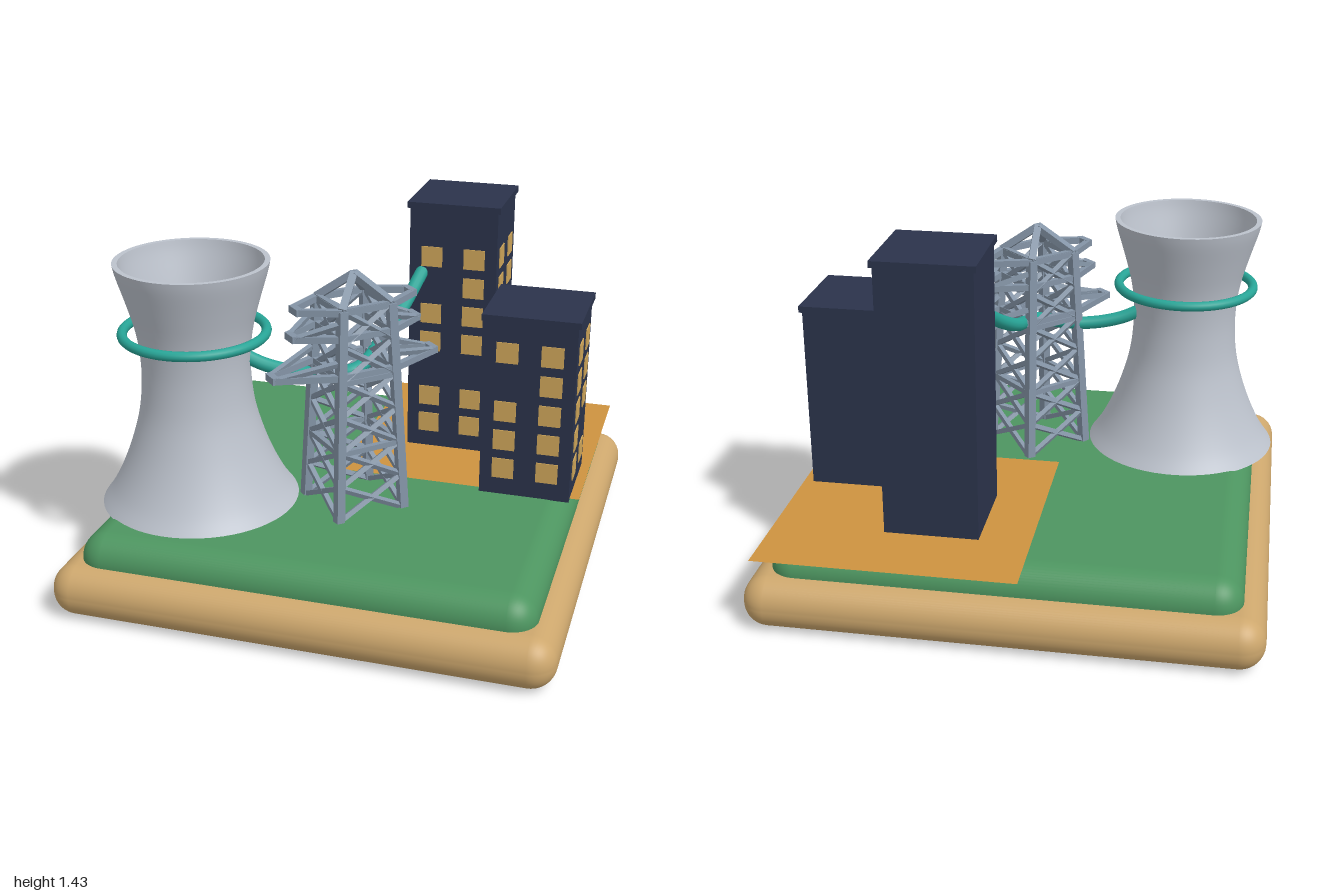
import * as THREE from 'three';
import { toCreasedNormals } from 'three/addons/utils/BufferGeometryUtils.js';
import { RoundedBoxGeometry } from 'three/addons/geometries/RoundedBoxGeometry.js';

const mat = (name, color) => {
  const m = new THREE.MeshStandardMaterial({ color });
  m.name = name;
  return m;
};

export function createModel() {
  const sand = mat('sand', 0xcda76d);
  const grass = mat('grass', 0x4d9560);
  const ochre = mat('ochre', 0xcd9340);
  const concrete = mat('concrete', 0xbcc2cc);
  const steel = mat('steel', 0x8494a6);
  const teal = mat('teal', 0x28a597);
  const navy = mat('navy', 0x2b334b);
  const amber = mat('amber', 0xcfa65a);
  ochre.side = THREE.DoubleSide;

  const model = new THREE.Group();
  const add = (name, geometry, material, x = 0, y = 0, z = 0, parent = model) => {
    const mesh = new THREE.Mesh(geometry, material);
    mesh.name = name;
    mesh.position.set(x, y, z);
    parent.add(mesh);
    return mesh;
  };

  // Rounded ground slabs
  add('baseSlab', new RoundedBoxGeometry(2, 0.21, 2, 6, 0.1), sand, 0, 0.105, 0);
  add('lawn', new RoundedBoxGeometry(1.82, 0.22, 1.82, 6, 0.105), grass, 0, 0.21, 0);

  // Thin paved sheet overhanging the back corner
  const plaza = add('plaza', new THREE.PlaneGeometry(1.025, 1.02), ochre, 0.4225, 0.324, -0.49);
  plaza.rotation.x = -Math.PI / 2;

  // Cooling tower: hollow waisted shell
  const tower = new THREE.Group();
  tower.name = 'coolingTower';
  tower.position.set(-0.58, 0, 0.385);
  model.add(tower);
  const outer = new THREE.SplineCurve([
    [0.405, 0.315], [0.36, 0.38], [0.312, 0.475], [0.268, 0.59], [0.233, 0.72], [0.219, 0.85],
    [0.221, 0.96], [0.235, 1.06], [0.264, 1.17], [0.297, 1.28], [0.308, 1.328],
  ].map(([r, y]) => new THREE.Vector2(r, y))).getPoints(40);
  const inner = outer.map((p) => new THREE.Vector2(p.x - 0.022, p.y)).reverse();
  const shell = new THREE.LatheGeometry([...outer, ...inner, outer[0].clone()], 64);
  add('towerShell', toCreasedNormals(shell, 0.7), concrete, 0, 0, 0, tower);
  const ring = add('towerRing', new THREE.TorusGeometry(0.286, 0.02, 12, 64), teal, 0, 1.035, 0, tower);
  ring.rotation.x = Math.PI / 2;

  // Cable from the tower past the pylon to the tall building
  const cablePath = new THREE.CatmullRomCurve3([
    [-0.43, 0.945, 0.33], [-0.3, 0.89, 0.31], [-0.14, 0.868, 0.285], [0.045, 0.89, 0.25],
    [0.09, 0.94, 0.03], [0.13, 1.02, -0.15], [0.168, 1.13, -0.34],
  ].map((p) => new THREE.Vector3(...p)));
  add('cable', new THREE.TubeGeometry(cablePath, 80, 0.028, 12), teal);
  const cap = add('cableEnd', new THREE.CircleGeometry(0.028, 12), teal, -0.43, 0.945, 0.33);
  cap.lookAt(cap.position.clone().sub(cablePath.getTangent(0)));

  // Lattice pylon, turned 45 degrees
  const pylon = new THREE.Group();
  pylon.name = 'pylon';
  pylon.position.set(0.045, 0, 0.27);
  pylon.rotation.y = Math.PI / 4;
  model.add(pylon);
  const beam = (name, a, b, t) => {
    const mesh = add(name, new THREE.BoxGeometry(t, t, a.distanceTo(b)), steel, 0, 0, 0, pylon);
    mesh.position.copy(a).add(b).multiplyScalar(0.5);
    const dir = b.clone().sub(a).normalize();
    mesh.quaternion.setFromUnitVectors(new THREE.Vector3(0, 0, 1), dir);
  };
  const bottom = 0.32, top = 1.19;
  const signs = [[1, 1], [1, -1], [-1, -1], [-1, 1]];
  const corner = (i, y) => {
    const s = THREE.MathUtils.mapLinear(y, bottom, top, 0.147, 0.107);
    return new THREE.Vector3(signs[i % 4][0] * s, y, signs[i % 4][1] * s);
  };
  const apex = new THREE.Vector3(0, 1.295, 0);
  const panels = 6;
  for (let i = 0; i < 4; i++) {
    beam('pylonLeg', corner(i, bottom), corner(i, top), 0.035);
    beam('pylonPeak', corner(i, top), apex, 0.03);
    for (let k = 0; k < panels; k++) {
      const y0 = bottom + ((top - bottom) * k) / panels;
      const y1 = bottom + ((top - bottom) * (k + 1)) / panels;
      beam('pylonBrace', corner(i, y0), corner(i + 1, y1), 0.02);
      beam('pylonBrace', corner(i, y1), corner(i + 1, y0), 0.02);
      if (k % 2) beam('pylonTie', corner(i, y1), corner(i + 1, y1), 0.022);
    }
  }
  // Tapering cross arms on both sides
  for (const [y, reach] of [[0.925, 0.355], [1.08, 0.27], [1.185, 0.25]]) {
    for (const s of [1, -1]) {
      const tip = (z) => new THREE.Vector3(s * reach, y, z * 0.025);
      beam('armTip', tip(-1.4), tip(1.4), 0.028);
      for (const z of [1, -1]) {
        const i = signs.findIndex(([a, b]) => a === s && b === z);
        beam('armBar', corner(i, y), tip(z), 0.026);
        if (y < 1.1) beam('armStay', corner(i, y + 0.06), tip(z), 0.02);
      }
    }
    for (const z of [0, 2]) beam('armTie', corner(z, y), corner(z + 1, y), 0.024);
    for (const z of [1, 3]) beam('armTie', corner(z, y), corner(z + 1, y), 0.024);
  }

  // Buildings: windows on the front and +x faces, one list of rows per column
  const building = (name, x, z, height, front, side) => {
    const g = new THREE.Group();
    g.name = name;
    g.position.set(x, 0.318, z);
    model.add(g);
    add('walls', new THREE.BoxGeometry(0.375, height, 0.375), navy, 0, height / 2, 0, g);
    add('roof', new THREE.BoxGeometry(0.397, 0.026, 0.397), navy, 0, height - 0.008, 0, g);
    const pane = new THREE.BoxGeometry(0.09, 0.087, 0.008);
    [front, side].forEach((columns, face) => columns.forEach((rows, c) => {
      const across = c ? 0.091 : -0.091;
      for (const row of rows) {
        const y = 0.12 + row * 0.127;
        const p = add('window', pane, amber, face ? 0.188 : across, y, face ? -across : 0.188, g);
        if (face) p.rotation.y = Math.PI / 2;
      }
    }));
  };
  building('tallBuilding', 0.302, -0.515, 1.11,
    [[0, 1, 3, 4, 6], [0, 1, 3, 4, 5, 6]], [[0, 1, 2, 3, 5, 6], [0, 1, 2, 3, 5, 6]]);
  building('shortBuilding', 0.708, -0.14, 0.78,
    [[0, 1, 2, 4], [0, 1, 2, 3, 4]], [[0, 1, 2, 3, 4], [0, 2, 3, 4]]);

  return model;
}
